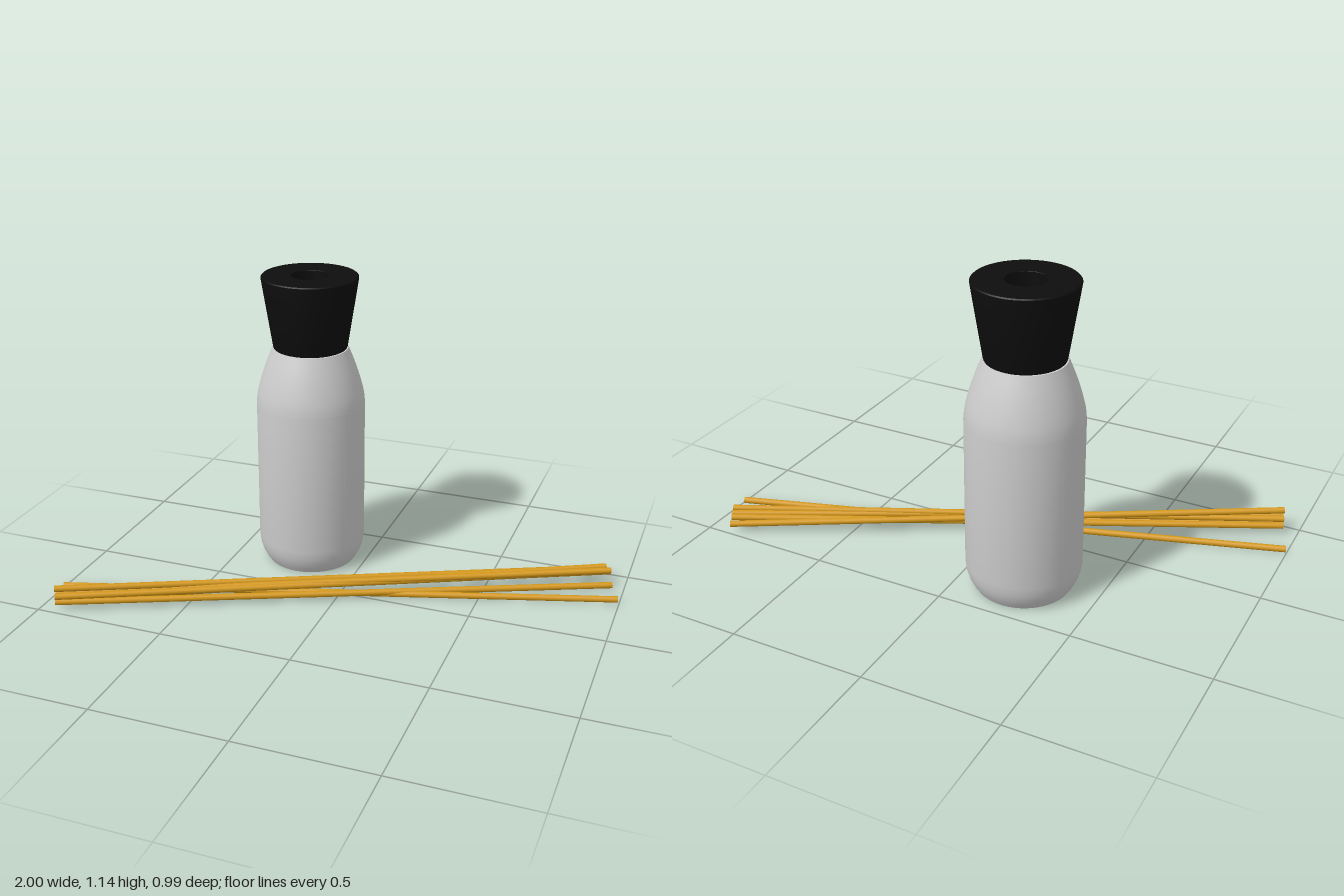
import * as THREE from 'three';
import { toCreasedNormals } from 'three/addons/utils/BufferGeometryUtils.js';

const glass = new THREE.MeshStandardMaterial({ color: 0xcccccc });
const black = new THREE.MeshStandardMaterial({ color: 0x0d0d0d });
const wood = new THREE.MeshStandardMaterial({ color: 0xd4981a });

// Turned part from [radius, height] pairs, listed so the outside faces out
function turned(name, profile, material) {
  const points = profile.map(([r, y]) => new THREE.Vector2(r, y));
  const geometry = toCreasedNormals(new THREE.LatheGeometry(points, 64), 0.45);
  const mesh = new THREE.Mesh(geometry, material);
  mesh.name = name;
  return mesh;
}

// Straight round stick between two end points
function stick(start, end) {
  const a = new THREE.Vector3(...start);
  const b = new THREE.Vector3(...end);
  const direction = b.clone().sub(a);
  const mesh = new THREE.Mesh(new THREE.CylinderGeometry(0.012, 0.012, direction.length(), 16), wood);
  mesh.position.copy(a).add(b).multiplyScalar(0.5);
  mesh.quaternion.setFromUnitVectors(new THREE.Vector3(0, 1, 0), direction.normalize());
  return mesh;
}

export function createModel() {
  const model = new THREE.Group();
  model.name = 'reedDiffuser';

  const diffuser = new THREE.Group();
  diffuser.name = 'diffuserBottle';
  diffuser.position.set(-0.22, 0, -0.277);

  // Bottle body with bevelled foot and curved shoulder
  const shoulder = new THREE.SplineCurve([
    [0.206, 0.65], [0.201, 0.69], [0.187, 0.745], [0.167, 0.805], [0.143, 0.865],
  ].map(([r, y]) => new THREE.Vector2(r, y))).getPoints(16).map((p) => [p.x, p.y]);
  diffuser.add(turned('bottle', [
    [0, 0], [0.17, 0], [0.183, 0.02], [0.194, 0.042], [0.202, 0.068], [0.206, 0.1],
    ...shoulder, [0, 0.866],
  ], glass));

  // Flared cap with a central opening for the reeds
  diffuser.add(turned('cap', [
    [0.07, 0.864], [0.134, 0.864], [0.138, 0.866], [0.14, 0.871],
    [0.181, 1.131], [0.181, 1.136], [0.177, 1.14],
    [0.071, 1.14], [0.07, 1.139], [0.07, 0.864],
  ], black));
  model.add(diffuser);

  // Loose bundle of reeds lying in front
  const reeds = new THREE.Group();
  reeds.name = 'reeds';
  [
    [[-0.995, 0.013, 0.327], [0.993, 0.013, -0.29]],
    [[-0.94, 0.03, 0.475], [0.955, 0.015, -0.39]],
    [[-0.945, 0.057, 0.46], [0.942, 0.06, -0.42]],
    [[-0.935, 0.057, 0.483], [0.937, 0.047, -0.437]],
    [[-0.945, 0.03, 0.455], [0.917, 0.05, -0.465]],
    [[-0.94, 0.085, 0.475], [0.91, 0.033, -0.485]],
  ].forEach(([start, end], i) => {
    const reed = stick(start, end);
    reed.name = `reed${i + 1}`;
    reeds.add(reed);
  });
  model.add(reeds);

  return model;
}
